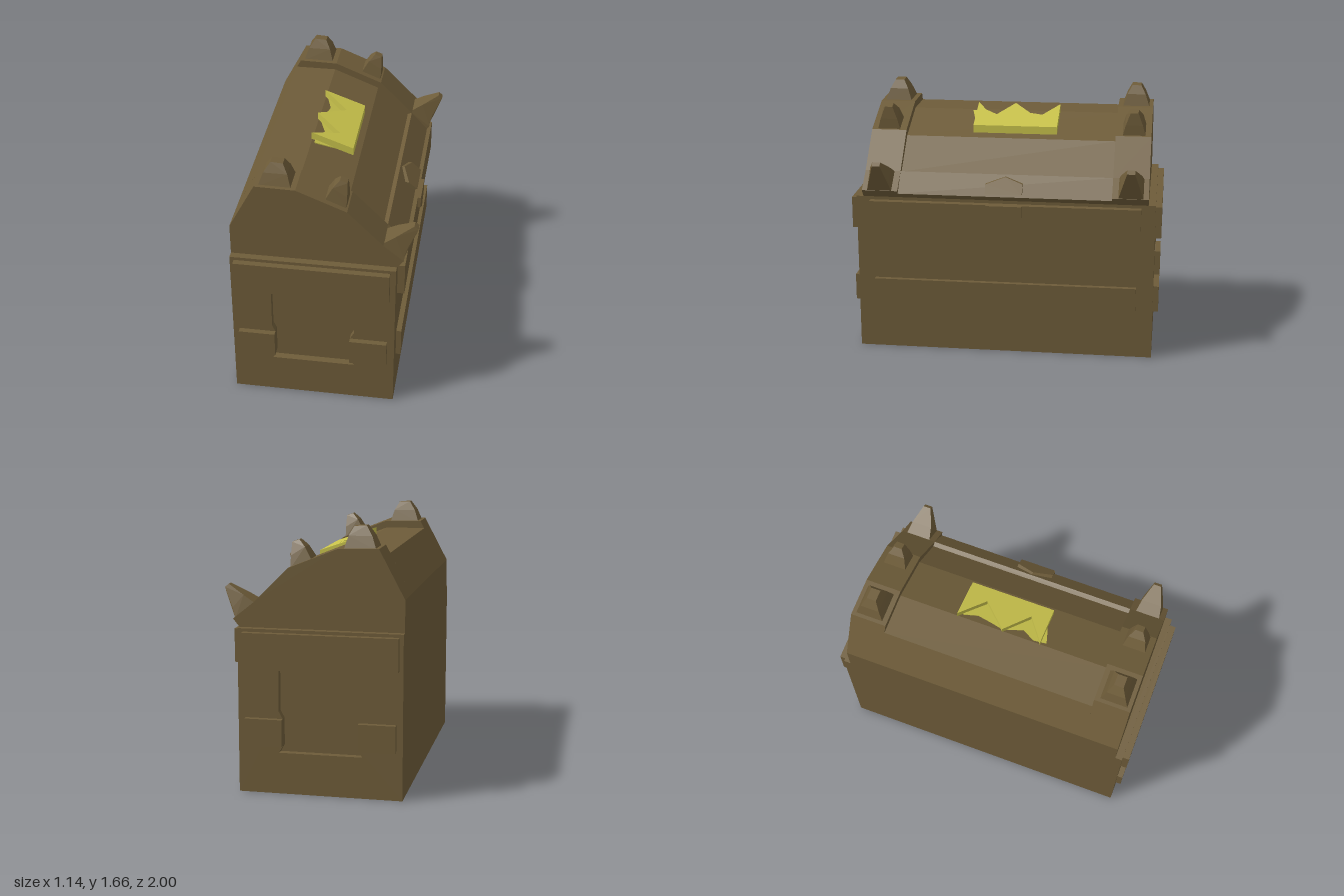
import * as THREE from 'three';
import { ConvexGeometry } from 'three/addons/geometries/ConvexGeometry.js';

const brown = new THREE.MeshStandardMaterial({ color: 0x6e5c39 });
brown.name = 'brown';
const yellow = new THREE.MeshStandardMaterial({ color: 0xc8c24b });
yellow.name = 'yellow';

const toShape = (pts) => new THREE.Shape(pts.map(([a, b]) => new THREE.Vector2(a, b)));
const extrude = (shape, depth) => new THREE.ExtrudeGeometry(shape, { depth, bevelEnabled: false });

// Profile in x-y, extruded from z0 to z1
const slabZ = (pts, z0, z1, hole) => {
  const shape = toShape(pts);
  if (hole) shape.holes.push(new THREE.Path(hole.map(([a, b]) => new THREE.Vector2(a, b))));
  return extrude(shape, z1 - z0).translate(0, 0, z0);
};
// Outline in z-y, extruded from x0 to x1
const slabX = (pts, x0, x1) =>
  extrude(toShape(pts.map(([z, y]) => [-z, y])), x1 - x0).rotateY(Math.PI / 2).translate(x0, 0, 0);
const rect = (x0, x1, y0, y1) => [[x0, y0], [x1, y0], [x1, y1], [x0, y1]];

export function createModel() {
  const model = new THREE.Group();
  const add = (name, geometry, material = brown) => {
    const mesh = new THREE.Mesh(geometry, material);
    mesh.name = name;
    model.add(mesh);
    return mesh;
  };

  // Chest body: core plus an end frame with a pinched recess on each end
  add('bodyCore', slabZ(rect(-0.57, 0.455, 0, 1.03), -0.915, 0.915));
  const recess = [
    [-0.32, 0.775], [0.2, 0.775], [0.2, 0.52], [0.175, 0.475], [0.175, 0.305],
    [0.2, 0.26], [-0.32, 0.26], [-0.3, 0.305], [-0.3, 0.475], [-0.32, 0.52],
  ];

  // Lid profiles: raised end bands and the lower middle panel
  const bandProfile = [
    [-0.57, 1.03], [0.455, 1.03], [0.495, 1.08], [0.37, 1.18], [0.15, 1.4],
    [-0.16, 1.525], [-0.41, 1.53], [-0.57, 1.23],
  ];
  const panelProfile = [
    [-0.57, 1.03], [0.455, 1.03], [0.48, 1.06], [0.37, 1.18], [0.342, 1.168],
    [0.13, 1.36], [-0.17, 1.48], [-0.437, 1.48], [-0.57, 1.23],
  ];
  add('lidPanel', slabZ(panelProfile, -0.69, 0.69));

  // Spike sections from base to tip: two profile points and a half width
  const spikes = {
    topSpike: [[[-0.39, 1.52], [-0.19, 1.515], 0.09], [[-0.36, 1.6], [-0.215, 1.6], 0.06], [[-0.32, 1.66], [-0.245, 1.655], 0.03]],
    middleSpike: [[[0.01, 1.45], [0.14, 1.395], 0.075], [[0.055, 1.525], [0.142, 1.47], 0.055], [[0.095, 1.566], [0.14, 1.55], 0.025]],
    frontSpike: [[[0.365, 1.175], [0.49, 1.075], 0.08], [[0.44, 1.22], [0.51, 1.14], 0.065], [[0.545, 1.28], [0.57, 1.26], 0.025]],
  };

  for (const s of [1, -1]) {
    const end = s > 0 ? 'Front' : 'Rear';
    const endSlab = (name, pts, near, far, hole) =>
      add(name + end, slabZ(pts, Math.min(s * near, s * far), Math.max(s * near, s * far), hole));
    endSlab('bodyFrame', rect(-0.57, 0.455, 0, 1.03), 0.915, 0.96, recess);
    endSlab('upperBoard', rect(-0.545, 0.42, 0.805, 1.01), 0.955, 1);
    endSlab('lowerBoardA', rect(-0.53, -0.3, 0.305, 0.475), 0.955, 0.995);
    endSlab('lowerBoardB', rect(0.175, 0.41, 0.305, 0.475), 0.955, 0.995);
    endSlab('lidBand', bandProfile, 0.685, 0.915);
    for (const [name, sections] of Object.entries(spikes)) {
      const pts = [];
      for (const [a, b, w] of sections)
        for (const [x, y] of [a, b])
          for (const z of [-w, w]) pts.push(new THREE.Vector3(x, y, s * 0.803 + z));
      add(name + end, new ConvexGeometry(pts));
    }
  }

  // Long boards on the +x side, with slightly bowed lower edges
  add('sideUpperBoard', slabX([
    [0.87, 1.01], [0.87, 0.8], [0.45, 0.815], [0, 0.797], [-0.45, 0.812], [-0.87, 0.8], [-0.87, 1.01],
  ], 0.45, 0.5));
  add('sideLowerBoard', slabX([
    [0.85, 0.48], [0.85, 0.293], [0.45, 0.297], [0, 0.31], [-0.45, 0.297], [-0.85, 0.293], [-0.85, 0.48],
  ], 0.45, 0.487));

  // Latch: lower tongue and upper plate sheared to follow the lid slope
  add('latchTongue', slabX([[-0.115, 1.01], [-0.115, 0.935], [0, 0.87], [0.115, 0.935], [0.115, 1.01]], 0.46, 0.52));
  const lean = new THREE.Matrix4().set(1, -1.1, 0, 1.188, 0, 1, 0, 0, 0, 0, 1, 0, 0, 0, 0, 1);
  add('latchPlate', slabX([[0.12, 1.08], [0.125, 1.13], [0, 1.17], [-0.115, 1.135], [-0.115, 1.08]], 0.44, 0.495)
    .applyMatrix4(lean));

  // Crown-shaped ornament lying on the lid slope (outline in x-z)
  const slopePlate = (pts, thickness, slope, top) =>
    extrude(toShape(pts.map(([x, z]) => [x, -z])), thickness)
      .rotateX(-Math.PI / 2)
      .applyMatrix4(new THREE.Matrix4().set(1, 0, 0, 0, -slope, 1, 0, top - thickness, 0, 0, 1, 0, 0, 0, 0, 1));
  add('crown', slopePlate([
    [0.092, -0.3], [-0.175, -0.3], [-0.01, -0.16], [-0.175, 0], [-0.01, 0.135], [-0.175, 0.25], [0.092, 0.25],
  ], 0.05, 0.36, 1.466), yellow);
  // Thin uneven backing showing between the points
  add('crownBacking', slopePlate([
    [0, -0.28], [-0.15, -0.27], [-0.12, -0.18], [-0.14, -0.08], [-0.16, 0], [-0.11, 0.12],
    [-0.16, 0.2], [-0.15, 0.285], [-0.06, 0.26], [0, 0.24],
  ], 0.008, 0.4, 1.418), yellow);

  return model;
}
